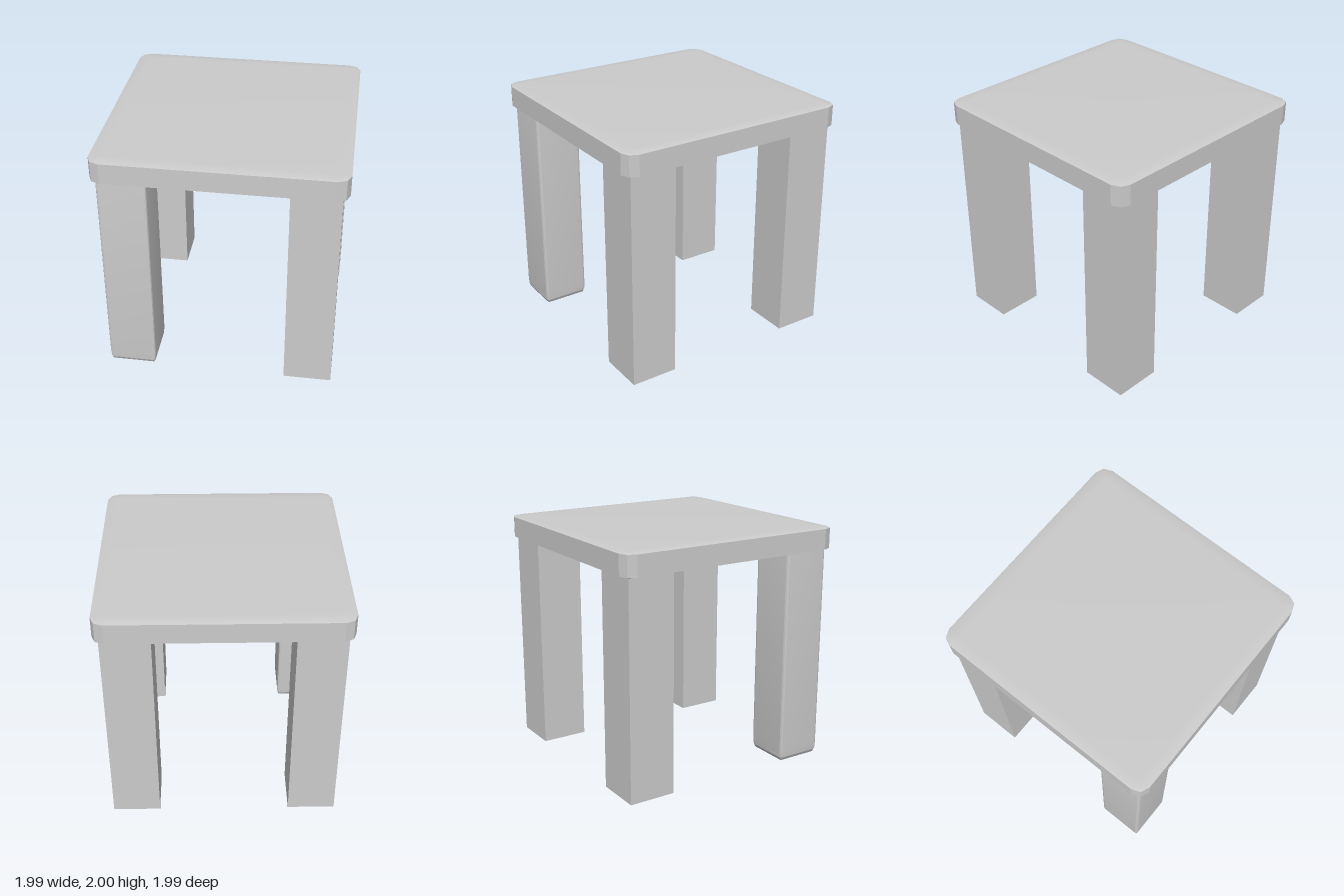
import * as THREE from 'three';
import { RoundedBoxGeometry } from 'three/addons/geometries/RoundedBoxGeometry.js';
import { toCreasedNormals } from 'three/addons/utils/BufferGeometryUtils.js';

const material = new THREE.MeshStandardMaterial({ color: 0xcccccc });

// A bevelled cube stretched to size, so its bevel stretches with it
function bevelledBox(width, height, depth) {
  const geometry = new RoundedBoxGeometry(2, 2, 2, 1, 0.1);
  geometry.scale(width / 2, height / 2, depth / 2);
  return toCreasedNormals(geometry, THREE.MathUtils.degToRad(20));
}

function addPart(group, name, geometry, x, y, z) {
  const mesh = new THREE.Mesh(geometry, material);
  mesh.name = name;
  mesh.position.set(x, y, z);
  group.add(mesh);
}

export function createModel() {
  const group = new THREE.Group();
  group.name = 'stool';

  // Seat slab with rounded corners
  addPart(group, 'seat', bevelledBox(1.99, 0.19, 1.99), 0, 1.905, 0);

  // Four legs reaching into the seat; only the front right one is bevelled
  const legHeight = 1.91;
  for (const x of [-1, 1]) {
    for (const z of [-1, 1]) {
      const bevelled = x < 0 && z > 0;
      const geometry = bevelled
        ? bevelledBox(0.395, legHeight, 0.395)
        : new THREE.BoxGeometry(0.395, legHeight, 0.395);
      const name = (z > 0 ? 'front' : 'back') + (x > 0 ? 'Left' : 'Right') + 'Leg';
      addPart(group, name, geometry, x * 0.747, legHeight / 2, z * 0.747);
    }
  }
  return group;
}
